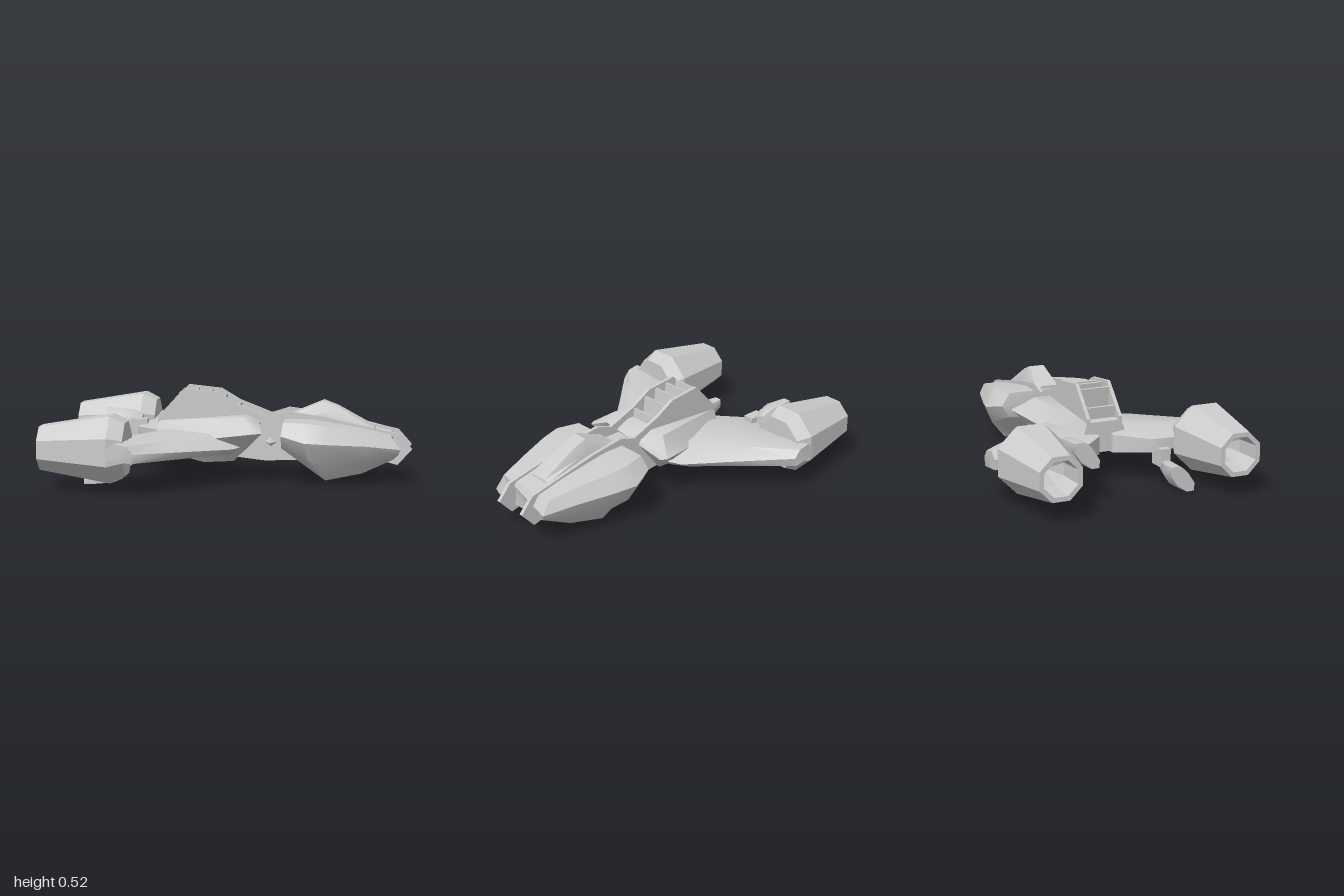
import * as THREE from 'three';
import { toCreasedNormals } from 'three/addons/utils/BufferGeometryUtils.js';

const material = new THREE.MeshStandardMaterial({ color: 0xcccccc, side: THREE.DoubleSide });
const facetMaterial = new THREE.MeshStandardMaterial({ color: 0xcccccc, side: THREE.DoubleSide, flatShading: true });

// Skin closed rings of [x, y, z] points, cap both ends, and turn the faces outward.
function loft(rings, crease = 0.6) {
  const n = rings[0].length, last = rings.length - 1;
  const tris = [];
  for (let r = 0; r < last; r++) {
    for (let i = 0; i < n; i++) {
      const j = (i + 1) % n;
      const a = rings[r][i], b = rings[r][j], c = rings[r + 1][j], d = rings[r + 1][i];
      tris.push([a, b, c], [a, c, d]);
    }
  }
  for (let i = 1; i < n - 1; i++) {
    tris.push([rings[0][0], rings[0][i + 1], rings[0][i]]);
    tris.push([rings[last][0], rings[last][i], rings[last][i + 1]]);
  }
  const v = (p) => new THREE.Vector3(...p);
  const volume = tris.reduce((s, [a, b, c]) => s + v(a).dot(v(b).cross(v(c))), 0);
  const points = tris.flatMap((t) => (volume < 0 ? [t[0], t[2], t[1]] : t)).map(v);
  const geometry = new THREE.BufferGeometry().setFromPoints(points);
  return toCreasedNormals(geometry, crease);
}

// Complete a half ring (z > 0, top to bottom) with its mirror image.
const mirrorRing = (half) => [...half, ...half.map(([x, y, z]) => [x, y, -z]).reverse()];

export function createModel() {
  const model = new THREE.Group();
  const add = (name, geometry, mat = material, parent = model) => {
    const mesh = new THREE.Mesh(geometry, mat);
    mesh.name = name;
    parent.add(mesh);
    return mesh;
  };

  // Broad wedge-shaped front hull
  add('frontHull', loft([
    [[0.29, 0.36, 0.26], [0.28, 0.29, 0.31], [0.28, 0.22, 0.27], [0.3, 0.2, 0.16]],
    [[0.42, 0.36, 0.295], [0.41, 0.26, 0.36], [0.43, 0.16, 0.31], [0.45, 0.08, 0.19]],
    [[0.53, 0.345, 0.28], [0.53, 0.25, 0.33], [0.52, 0.13, 0.28], [0.52, 0.032, 0.2]],
    [[0.72, 0.315, 0.23], [0.74, 0.235, 0.265], [0.73, 0.13, 0.22], [0.72, 0.07, 0.17]],
    [[0.88, 0.28, 0.19], [0.93, 0.21, 0.2], [0.92, 0.18, 0.19], [0.89, 0.145, 0.14]],
  ].map(mirrorRing), 0.7));

  // Raised canopy between the rails
  add('canopy', loft([
    [[0.31, 0.375, 0.05], [0.31, 0.35, 0.08], [0.31, 0.28, 0.082]],
    [[0.5, 0.455, 0.045], [0.5, 0.39, 0.072], [0.5, 0.28, 0.085]],
    [[0.58, 0.425, 0.045], [0.58, 0.37, 0.072], [0.58, 0.28, 0.085]],
    [[0.79, 0.31, 0.045], [0.79, 0.3, 0.075], [0.8, 0.25, 0.085]],
  ].map(mirrorRing)));

  // Rear hull, wider towards its undercut front face
  add('rearHull', loft([
    [[-0.43, 0.34, 0.1], [-0.43, 0.26, 0.13], [-0.43, 0.17, 0.08]],
    [[-0.17, 0.36, 0.15], [-0.17, 0.25, 0.22], [-0.17, 0.105, 0.1]],
    [[0.07, 0.38, 0.2], [0.14, 0.3, 0.31], [0, 0.115, 0.1]],
    [[0.15, 0.345, 0.18], [0.175, 0.3, 0.29], [0.03, 0.145, 0.09]],
  ].map(mirrorRing), 0.7));

  // Neck and its diamond-shaped cross pod
  const neck = new THREE.BoxGeometry(0.4, 0.17, 0.17);
  neck.translate(0.2, 0.235, 0);
  add('neck', neck);
  const crossPod = new THREE.OctahedronGeometry(1);
  crossPod.scale(0.08, 0.06, 0.18);
  crossPod.translate(0.21, 0.23, 0);
  add('neckCrossPod', crossPod, facetMaterial);

  // Pair of long keel plates that rise as rails over the hull
  const railTop = [[-0.43, 0.36], [-0.28, 0.525], [-0.09, 0.505], [0.02, 0.44], [0.2, 0.37], [0.3, 0.402],
    [0.5, 0.375], [0.8, 0.31], [0.92, 0.285], [0.995, 0.2]];
  const railBottom = [[0.915, 0.11], [0.82, 0.135], [0.37, 0.13], [0.18, 0.122], [0.02, 0.14], [-0.43, 0.18]];
  const railShape = new THREE.Shape([...railTop, ...railBottom].map(([x, y]) => new THREE.Vector2(x, y)));
  for (const side of [1, -1]) {
    const rail = new THREE.ExtrudeGeometry(railShape, { depth: 0.02, bevelEnabled: false });
    rail.translate(0, 0, side * 0.095 - 0.01);
    add(side > 0 ? 'leftRail' : 'rightRail', rail);
  }

  // Upright slats between the rails, following their height
  const topAt = (x) => {
    const i = railTop.findIndex((p) => p[0] > x);
    const [a, b] = [railTop[i - 1], railTop[i]];
    return THREE.MathUtils.lerp(a[1], b[1], (x - a[0]) / (b[0] - a[0]));
  };
  for (let i = 0; i < 6; i++) {
    const x = -0.375 + i * 0.08;
    const height = topAt(x) - 0.35;
    const slat = add('slat', new THREE.BoxGeometry(0.014, height, 0.18));
    slat.position.set(x, 0.34 + height / 2, 0);
    slat.rotation.z = 0.12;
  }

  // Eight-sided engine profile: [radius, x], hollow at the tail
  const engineProfile = [[0, -0.8], [0.09, -0.85], [0.1, -1], [0.127, -1], [0.196, -0.61], [0.155, -0.53], [0, -0.53]]
    .map(([r, x]) => new THREE.Vector2(r, x));

  // Wing stations: [z, trailing x, leading x, lower y, upper y, leading y]
  const stations = [
    [0.04, -0.45, 0.06, 0.15, 0.3, 0.22],
    [0.2, -0.6, 0.05, 0.17, 0.295, 0.21],
    [0.29, -0.61, 0.01, 0.18, 0.295, 0.21],
    [0.5, -0.61, -0.23, 0.185, 0.295, 0.225],
    [0.71, -0.61, -0.46, 0.19, 0.295, 0.24],
  ];

  for (const side of [1, -1]) {
    const word = side > 0 ? 'left' : 'right';
    // Swept wing
    add(word + 'Wing', loft(stations.map(([z, back, lead, low, high, leadY]) => {
      const chord = lead - back;
      return [[back, low + 0.015, z], [back, high - 0.035, z], [back + chord * 0.3, high, z],
        [lead - chord * 0.25, high - 0.012, z], [lead, leadY, z], [lead - chord * 0.08, low, z]]
        .map(([x, y, w]) => [x, y, w * side]);
    }), 0.75));

    // Engine
    const engine = new THREE.LatheGeometry(engineProfile, 8, Math.PI / 8);
    engine.rotateZ(-Math.PI / 2);
    engine.translate(0, 0.243, side * 0.513);
    add(word + 'Engine', engine, facetMaterial);

    // Small tilted thruster: under the left wing, beside the right wing's upper side
    const thruster = new THREE.Group();
    thruster.name = word + 'Thruster';
    const ring = (x, y, z, ry, rz) => Array.from({ length: 8 }, (_, i) => {
      const a = (i / 8) * Math.PI * 2;
      return [x, y + Math.sin(a) * ry, z + Math.cos(a) * rz];
    });
    add(word + 'ThrusterPod', loft([
      ring(-0.105, 0, 0, 0.045, 0.1),
      ring(-0.03, 0, 0, 0.055, 0.095),
      ring(0.06, 0.01, 0.01, 0.045, 0.08),
      ring(0.11, 0.015, 0.02, 0.02, 0.045),
    ], 0.8), material, thruster);
    thruster.position.set(-0.7, side > 0 ? 0.083 : 0.28, side * 0.28);
    thruster.rotation.x = side > 0 ? 0.8 : 0.8 + Math.PI;
    model.add(thruster);

    // Strut joining the thruster to the wing
    const strut = new THREE.BoxGeometry(0.1, 0.1, 0.06);
    strut.translate(-0.6, side > 0 ? 0.16 : 0.25, side * 0.26);
    add(word + 'ThrusterStrut', strut);
  }
  return model;
}
